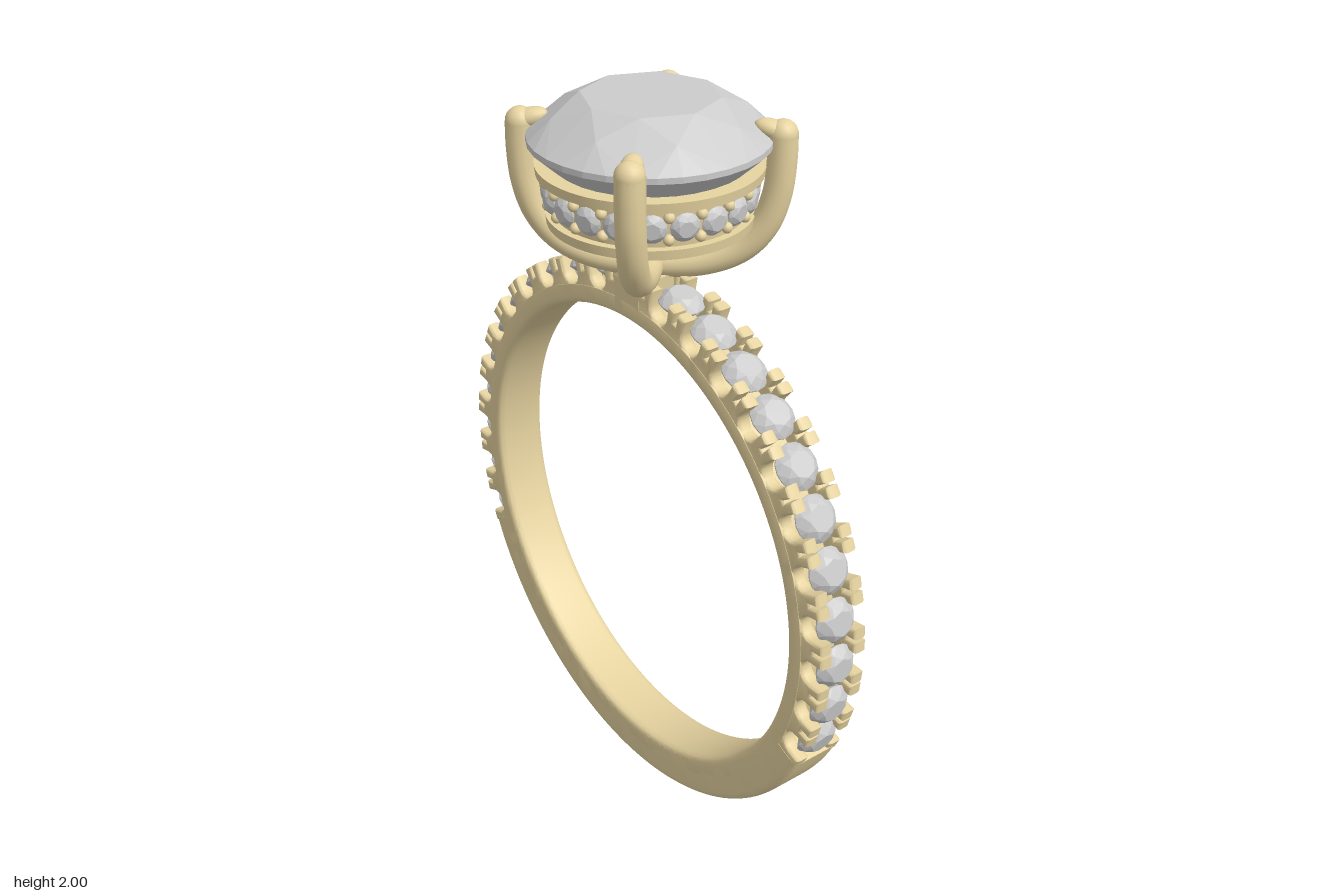
import * as THREE from 'three';
import { mergeGeometries, toCreasedNormals } from 'three/addons/utils/BufferGeometryUtils.js';
import { ConvexGeometry } from 'three/addons/geometries/ConvexGeometry.js';

const CY = 0.777, R = 0.777, INNER = 0.652, SEAT = 0.705, HALF = 0.075;
const rad = THREE.MathUtils.degToRad;
const UP = new THREE.Vector3(0, 1, 0);
const gold = new THREE.MeshStandardMaterial({ color: 0xe6d3a0, side: THREE.DoubleSide });
const gem = new THREE.MeshStandardMaterial({ color: 0xcccccc, flatShading: true });

// Round brilliant cut, girdle at y = 0
function brilliant(r, crown, pavilion, sides) {
  const pts = [];
  const ring = (n, radius, y, turn = 0) => {
    for (let i = 0; i < n; i++) {
      const a = ((i + turn) / n) * Math.PI * 2;
      pts.push(new THREE.Vector3(radius * Math.sin(a), y, radius * Math.cos(a)));
    }
  };
  ring(8, r * 0.57, crown);
  ring(8, r * 0.81, crown * 0.6, 0.5);
  ring(sides, r, r * 0.025);
  ring(sides, r, -r * 0.025);
  ring(8, r * 0.3, -pavilion * 0.74, 0.5);
  pts.push(new THREE.Vector3(0, -pavilion, 0));
  return new ConvexGeometry(pts);
}

// Part of the band swept around the finger hole, angles in degrees from the top
function bandArc(outer, start, length, outerRound) {
  const a = 0.022, b = outerRound;
  const s = new THREE.Shape();
  s.moveTo(INNER + a, -HALF);
  s.lineTo(outer - b, -HALF);
  s.quadraticCurveTo(outer, -HALF, outer, -HALF + b);
  s.lineTo(outer, HALF - b);
  s.quadraticCurveTo(outer, HALF, outer - b, HALF);
  s.lineTo(INNER + a, HALF);
  s.quadraticCurveTo(INNER, HALF, INNER, HALF - a);
  s.lineTo(INNER, -HALF + a);
  s.quadraticCurveTo(INNER, -HALF, INNER + a, -HALF);
  const parts = [new THREE.LatheGeometry(s.getPoints(5), Math.ceil(length / 2.5), rad(start), rad(length))];
  if (length < 360) {
    for (const end of [start, start + length]) {
      parts.push(new THREE.ShapeGeometry(s, 5).rotateY(rad(end) - Math.PI / 2));
    }
  }
  return toCreasedNormals(mergeGeometries(parts).rotateX(-Math.PI / 2), 0.6);
}

// Side rail with a U-shaped window at each stone and a split between prongs
function railGeometry() {
  const pts = [];
  const add = (deg, u, r) => {
    const a = rad(deg);
    pts.push(new THREE.Vector2(r * Math.sin(a) + u * Math.cos(a), r * Math.cos(a) - u * Math.sin(a)));
  };
  const w = 0.033, top = R - 0.001;
  add(-115, 0, top);
  for (let c = -110; c <= 110; c += 10) {
    if (c === 0) {
      for (let d = -3; d <= 3; d += 1.5) add(d, 0, top);
    } else {
      add(c, -w, top);
      for (let i = 0; i <= 8; i++) {
        const t = (i / 8) * Math.PI;
        add(c, -w * Math.cos(t), SEAT + w - w * Math.sin(t));
      }
      add(c, w, top);
    }
    if (c < 110) {
      add(c + 5, -0.004, top);
      add(c + 5, -0.004, top - 0.03);
      add(c + 5, 0.004, top - 0.03);
      add(c + 5, 0.004, top);
    }
  }
  add(115, 0, top);
  for (let d = 115; d >= -115; d -= 2.5) add(d, 0, 0.68);
  const geo = new THREE.ExtrudeGeometry(new THREE.Shape(pts), {
    depth: 0.02, bevelThickness: 0.01, bevelSize: 0.008, bevelOffset: -0.008, bevelSegments: 3,
  });
  return toCreasedNormals(geo, 0.6);
}

export function createModel() {
  const model = new THREE.Group();
  const add = (name, geo, mat, parent = model) => {
    const m = new THREE.Mesh(geo, mat);
    m.name = name;
    parent.add(m);
    return m;
  };
  const group = (name, y = 0) => {
    const g = new THREE.Group();
    g.name = name;
    g.position.y = y;
    model.add(g);
    return g;
  };

  // Band: thin inner ring, solid lower arc, plain land under the head
  const band = group('band', CY);
  add('innerBand', bandArc(SEAT, 0, 360, 0.002), gold, band);
  add('lowerBand', bandArc(R, 114, 132, 0.025), gold, band);
  add('topLand', bandArc(R - 0.003, -4, 8, 0.015), gold, band);
  const rail = railGeometry();
  add('frontRail', rail, gold, band).position.z = 0.044;
  add('backRail', rail, gold, band).position.z = -0.064;

  // Eleven stones down each shoulder
  const bandStone = brilliant(0.06, 0.027, 0.06, 16);
  for (const side of [-1, 1]) {
    for (let d = 10; d <= 110; d += 10) {
      const dir = new THREE.Vector3(side * Math.sin(rad(d)), Math.cos(rad(d)), 0);
      const s = add('bandStone', bandStone, gem, band);
      s.position.copy(dir).multiplyScalar(R - 0.03);
      s.quaternion.setFromUnitVectors(UP, dir);
    }
  }

  // Centre stone
  const head = group('head');
  add('centreStone', brilliant(0.297, 0.1, 0.27, 32), gem, head).position.y = 1.9;

  // Gallery: wall with a rim above and below
  const profile = [[0.2, 1.69], [0.254, 1.69], [0.257, 1.715], [0.237, 1.715], [0.25, 1.815],
    [0.277, 1.815], [0.28, 1.84], [0.235, 1.84], [0.2, 1.69]].map(([r, y]) => new THREE.Vector2(r, y));
  add('gallery', toCreasedNormals(new THREE.LatheGeometry(profile, 64), 0.5), gold, head);

  // Gallery stones with beads between them
  const smallStone = brilliant(0.037, 0.015, 0.03, 16);
  const bead = new THREE.SphereGeometry(0.014, 12, 8);
  for (let i = 0; i < 20; i++) {
    const a = rad(i * 18), b = rad(i * 18 + 9);
    const s = add('galleryStone', smallStone, gem, head);
    s.position.set(0.25 * Math.sin(a), 1.766, 0.25 * Math.cos(a));
    s.quaternion.setFromUnitVectors(UP, new THREE.Vector3(Math.sin(a), -0.1, Math.cos(a)).normalize());
    for (const [r, y] of [[0.255, 1.795], [0.25, 1.738]]) {
      add('bead', bead, gold, head).position.set(r * Math.sin(b), y, r * Math.cos(b));
    }
  }

  // Two crossed U-shaped wires form the four prongs, each ending in a claw
  const half = [[0.315, 1.92], [0.315, 1.85], [0.307, 1.77], [0.28, 1.69], [0.225, 1.625], [0.13, 1.583]];
  const path = [...half.map(([x, y]) => [-x, y]), [0, 1.572], ...half.slice().reverse()]
    .map(([x, y]) => new THREE.Vector3(x, y, 0));
  const wire = new THREE.TubeGeometry(new THREE.CatmullRomCurve3(path), 64, 0.037, 14);
  const tip = new THREE.SphereGeometry(0.037, 16, 12);
  const claw = new THREE.SphereGeometry(1, 16, 12).scale(0.05, 0.024, 0.028);
  for (const turn of [45, 135]) {
    const pair = new THREE.Group();
    pair.name = 'prongPair';
    pair.rotation.y = rad(turn);
    head.add(pair);
    add('prongWire', wire, gold, pair);
    for (const side of [-1, 1]) {
      add('prongTip', tip, gold, pair).position.set(side * 0.315, 1.918, 0);
      const c = add('claw', claw, gold, pair);
      c.position.set(side * 0.294, 1.928, 0);
      c.rotation.z = -side * 0.3;
    }
  }
  return model;
}
